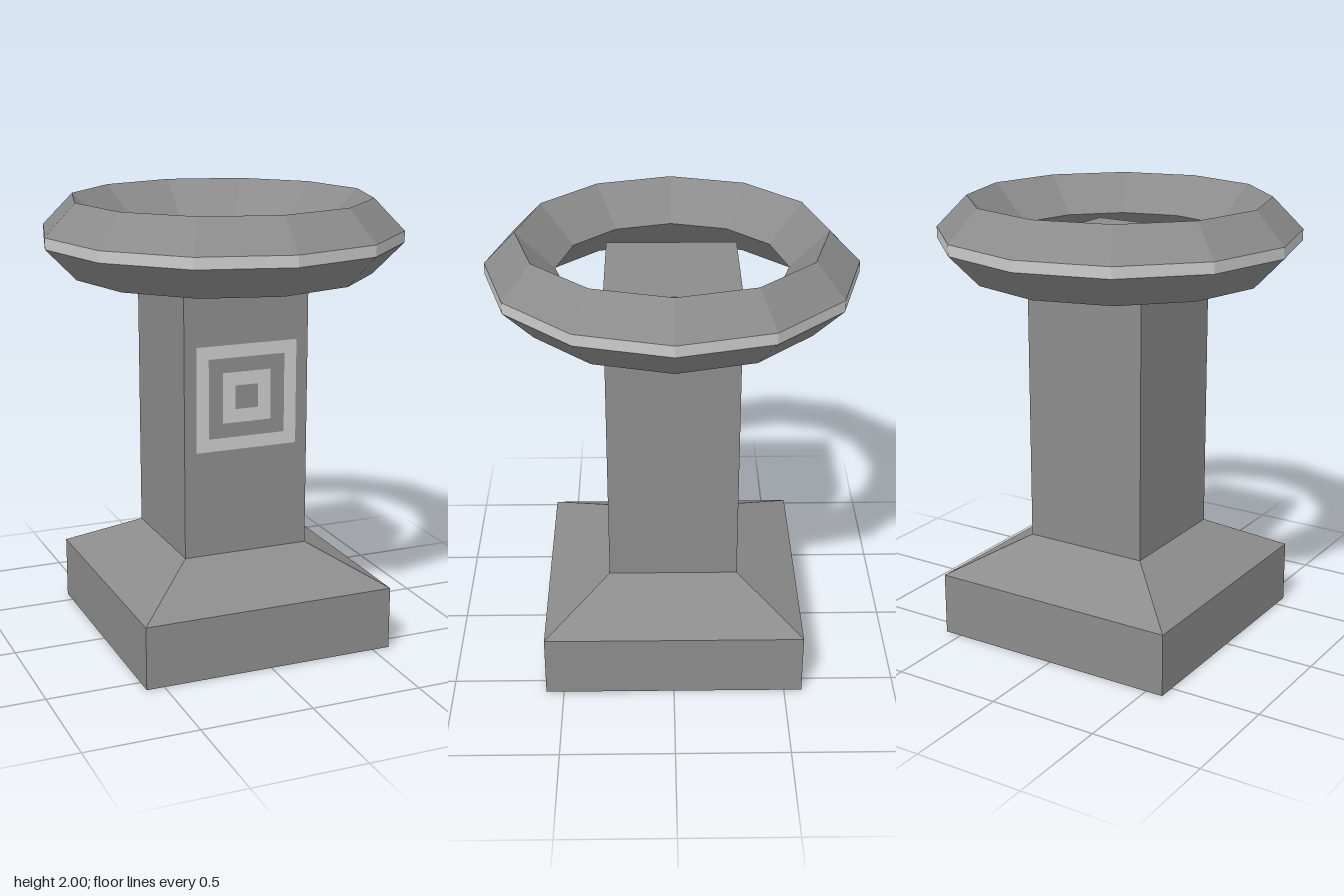
import * as THREE from 'three';

const stone = new THREE.MeshStandardMaterial({ color: 0x8c8c8c, flatShading: true });
const pale = new THREE.MeshStandardMaterial({ color: 0xcccccc, flatShading: true });

function add(parent, name, geometry, material, y = 0, z = 0) {
  const mesh = new THREE.Mesh(geometry, material);
  mesh.name = name;
  mesh.position.set(0, y, z);
  parent.add(mesh);
  return mesh;
}

// Twelve-sided revolved band from [radius, height] points
function band(points) {
  return new THREE.LatheGeometry(points.map(([r, y]) => new THREE.Vector2(r, y)), 12);
}

// Flat square frame with a square hole
function squareFrame(outer, inner) {
  const path = (P, h) => new P([[-h, -h], [h, -h], [h, h], [-h, h]].map(([x, y]) => new THREE.Vector2(x, y)));
  const shape = path(THREE.Shape, outer);
  shape.holes.push(path(THREE.Path, inner));
  return new THREE.ShapeGeometry(shape);
}

export function createModel() {
  const model = new THREE.Group();
  model.name = 'ringedPedestal';

  const baseHalf = 0.58, shaftHalf = 0.29;
  const baseTop = 0.285, shaftBottom = 0.45, shaftTop = 1.83;

  // Square plinth with a sloped shoulder
  add(model, 'plinth', new THREE.BoxGeometry(baseHalf * 2, baseTop, baseHalf * 2), stone, baseTop / 2);
  const shoulder = new THREE.CylinderGeometry(
    shaftHalf * Math.SQRT2, baseHalf * Math.SQRT2, shaftBottom - baseTop, 4, 1, true);
  shoulder.rotateY(Math.PI / 4);
  add(model, 'shoulder', shoulder, stone, (baseTop + shaftBottom) / 2);

  // Square shaft
  const shaftHeight = shaftTop - shaftBottom;
  add(model, 'shaft', new THREE.BoxGeometry(shaftHalf * 2, shaftHeight, shaftHalf * 2), stone,
    shaftBottom + shaftHeight / 2);

  // Concentric square inlay on the front of the shaft
  const inlay = new THREE.Group();
  inlay.name = 'frontInlay';
  inlay.position.set(0, 1.163, shaftHalf + 0.003);
  add(inlay, 'outerFrame', squareFrame(0.235, 0.178), pale);
  add(inlay, 'innerFrame', squareFrame(0.113, 0.053), pale);
  model.add(inlay);

  // Floating ring with five-sided section and a pale outer rim
  const ring = new THREE.Group();
  ring.name = 'ring';
  add(ring, 'ringBody', band([[0.803, 1.86], [0.667, 2], [0.5, 1.835], [0.667, 1.67], [0.803, 1.81]]), stone);
  add(ring, 'ringRim', band([[0.803, 1.81], [0.803, 1.86]]), pale);
  model.add(ring);

  return model;
}
